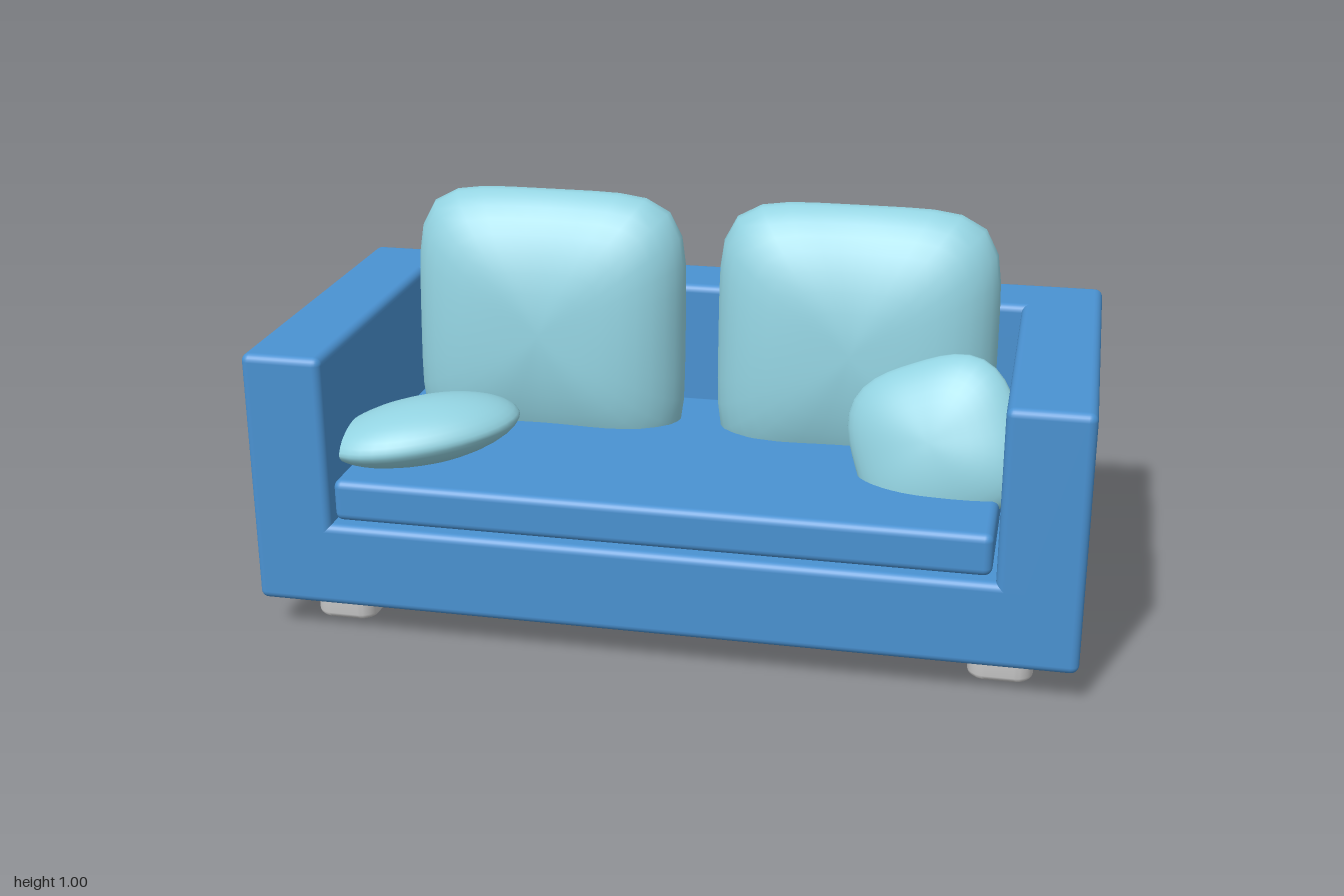
import * as THREE from 'three';
import { RoundedBoxGeometry } from 'three/addons/geometries/RoundedBoxGeometry.js';
import { mergeVertices, toCreasedNormals } from 'three/addons/utils/BufferGeometryUtils.js';

const blue = new THREE.MeshStandardMaterial({ color: 0x4a92d2 });
const teal = new THREE.MeshStandardMaterial({ color: 0x92d2e0 });
const grey = new THREE.MeshStandardMaterial({ color: 0xcccccc });

// Rounded box given by its lower and upper limits
function roundedBox(name, [x0, y0, z0], [x1, y1, z1], radius) {
  const geo = new RoundedBoxGeometry(x1 - x0, y1 - y0, z1 - z0, 3, radius);
  const mesh = new THREE.Mesh(geo, blue);
  mesh.name = name;
  mesh.position.set((x0 + x1) / 2, (y0 + y1) / 2, (z0 + z1) / 2);
  return mesh;
}

// Stuffed pillow: a superellipse outline (power n) whose thickness swells
// towards the middle; kx and ky set how full it is along x and y
function pillow(name, { a, b, d, n, kx = 2, ky = 2 }) {
  let geo = new THREE.SphereGeometry(1, 40, 20).rotateX(Math.PI / 2);
  const p = geo.attributes.position;
  for (let i = 0; i < p.count; i++) {
    const x = p.getX(i), y = p.getY(i), z = p.getZ(i);
    const r = Math.min(1, Math.hypot(x, y));
    const c = r > 1e-6 ? x / r : 1, s = r > 1e-6 ? y / r : 0;
    const R = Math.pow(Math.abs(c) ** n + Math.abs(s) ** n, -1 / n);
    const k = kx * c * c + ky * s * s;
    const t = Math.pow(Math.max(0, 1 - r ** k), 0.6);
    p.setXYZ(i, a * r * R * c, b * r * R * s, Math.abs(z) < 1e-6 ? 0 : Math.sign(z) * d * t);
  }
  geo.deleteAttribute('uv');
  geo.deleteAttribute('normal');
  geo = mergeVertices(geo, 1e-5);
  geo.computeVertexNormals();
  const mesh = new THREE.Mesh(geo, teal);
  mesh.name = name;
  mesh.rotation.order = 'YXZ';
  return mesh;
}

// Square foot with rounded corners and a softened lower edge
function footGeometry() {
  const bevel = 0.014, h = 0.078 - bevel, r = 0.03;
  const shape = new THREE.Shape();
  const q = h - r;
  shape.absarc(q, q, r, 0, Math.PI / 2);
  shape.absarc(-q, q, r, Math.PI / 2, Math.PI);
  shape.absarc(-q, -q, r, Math.PI, Math.PI * 1.5);
  shape.absarc(q, -q, r, Math.PI * 1.5, Math.PI * 2);
  const geo = new THREE.ExtrudeGeometry(shape, {
    depth: 0.1, bevelThickness: bevel, bevelSize: bevel, bevelSegments: 3, curveSegments: 5,
  });
  geo.rotateX(-Math.PI / 2).translate(0, bevel, 0);
  return toCreasedNormals(geo, 0.7);
}

export function createModel() {
  const sofa = new THREE.Group();
  sofa.name = 'sofa';

  // Frame: base, back and two arms
  const zBack = -0.475, zFront = 0.47;
  sofa.add(
    roundedBox('base', [-1, 0.085, zBack], [1, 0.3, zFront], 0.02),
    roundedBox('backrest', [-1, 0.085, zBack], [1, 0.727, -0.28], 0.02),
    roundedBox('seatCushion', [-0.79, 0.312, -0.28], [0.79, 0.417, 0.466], 0.02),
  );

  const foot = footGeometry();
  for (const side of [-1, 1]) {
    const label = side > 0 ? 'left' : 'right';
    const inner = side * 0.8;
    sofa.add(roundedBox(label + 'Arm',
      [Math.min(side, inner), 0.085, zBack], [Math.max(side, inner), 0.727, zFront], 0.02));

    // Back cushions leaning slightly against the backrest
    const cushion = pillow(label + 'BackCushion',
      { a: 0.354, b: 0.355, d: 0.142, n: 5.2, kx: 4, ky: 2 });
    cushion.position.set(side * 0.397, 0.65, -0.125);
    cushion.rotation.x = -0.07;
    sofa.add(cushion);

    // Feet
    for (const z of [0.3, -0.3]) {
      const leg = new THREE.Mesh(foot, grey);
      leg.name = label + (z > 0 ? 'FrontFoot' : 'BackFoot');
      leg.position.set(side * 0.818, 0, z);
      sofa.add(leg);
    }
  }

  // Throw pillow lying flat beside the right arm
  const flat = pillow('rightThrowPillow', { a: 0.24, b: 0.142, d: 0.078, n: 2.1 });
  flat.geometry.rotateX(-Math.PI / 2);
  flat.position.set(-0.63, 0.475, 0.237);
  flat.rotation.set(0, 0.44, 0.12);
  sofa.add(flat);

  // Throw pillow propped against the left arm
  const propped = pillow('leftThrowPillow', { a: 0.21, b: 0.2, d: 0.08, n: 3 });
  propped.position.set(0.63, 0.515, 0.17);
  propped.rotation.set(-0.35, -0.2, 0.42);
  sofa.add(propped);

  return sofa;
}
